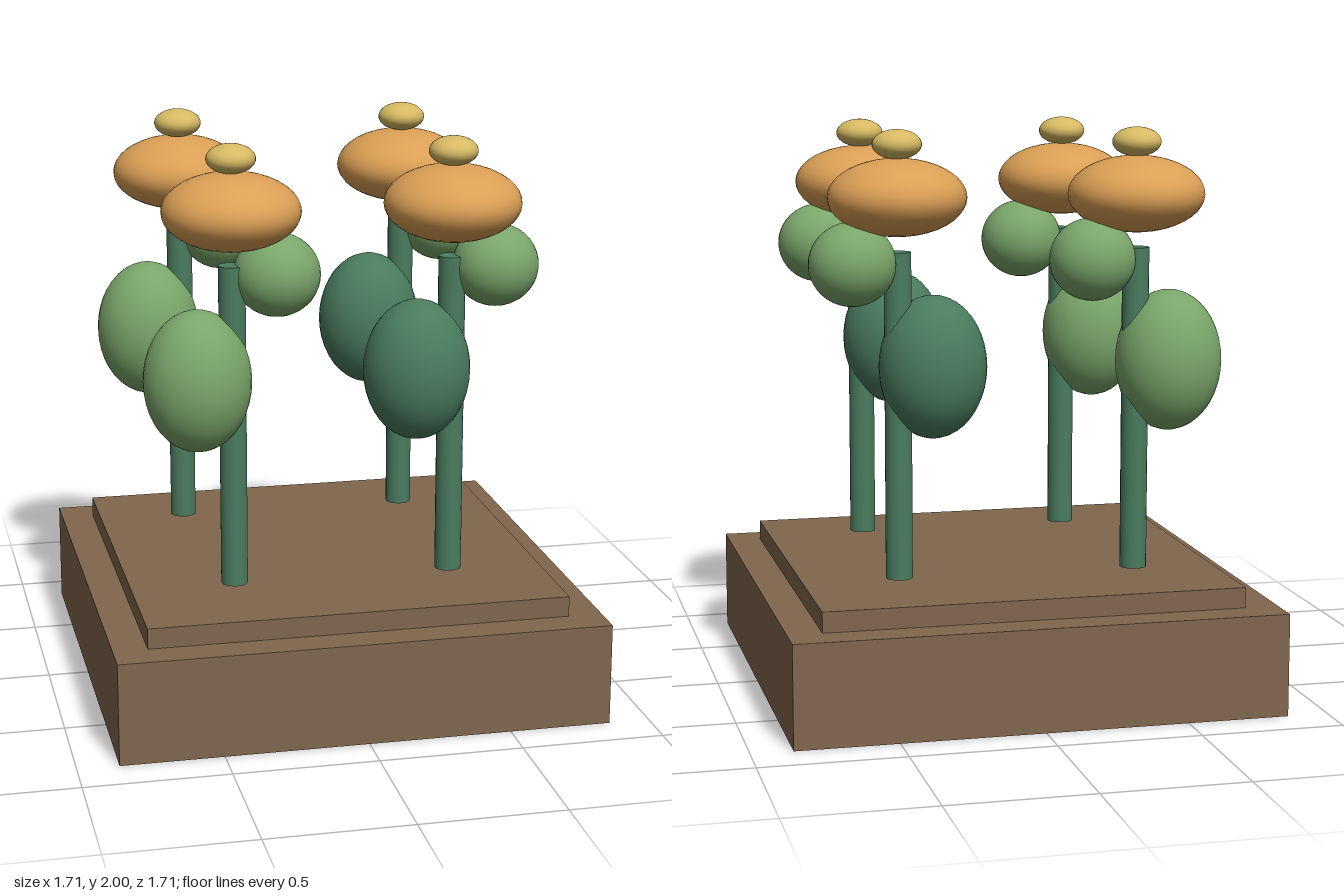
import * as THREE from 'three';

const paint = (name, color) => {
  const m = new THREE.MeshStandardMaterial({ color });
  m.name = name;
  return m;
};

export function createModel() {
  const earth = paint('earthBrown', 0x80664d);
  const darkGreen = paint('darkGreen', 0x4a7c5f);
  const lightGreen = paint('lightGreen', 0x7aa66a);
  const orange = paint('petalOrange', 0xdb9f55);
  const yellow = paint('paleYellow', 0xd6b963);

  const model = new THREE.Group();
  model.name = 'flowerPlanter';

  const add = (parent, name, geometry, material, x, y, z = 0) => {
    const mesh = new THREE.Mesh(geometry, material);
    mesh.name = name;
    mesh.position.set(x, y, z);
    parent.add(mesh);
    return mesh;
  };

  // Square bed with a raised slab of soil
  add(model, 'planterBase', new THREE.BoxGeometry(1.714, 0.36, 1.714), earth, 0, 0.18);
  add(model, 'soilSlab', new THREE.BoxGeometry(1.476, 0.072, 1.476), earth, 0, 0.396);

  // Shapes shared by all four plants
  const ball = (rx, ry, rz) => new THREE.SphereGeometry(1, 32, 20).scale(rx, ry, rz);
  const stem = new THREE.CylinderGeometry(0.047, 0.047, 1.133, 20);
  const lowerLeaf = ball(0.187, 0.248, 0.179);
  const upperLeaf = ball(0.15, 0.144, 0.144);
  const bloom = ball(0.238, 0.133, 0.238);
  const bloomCentre = ball(0.085, 0.051, 0.085);

  // Plant positions: x, z and the colour of the lower leaf
  const plants = [
    ['backRightPlant', -0.429, -0.414, lightGreen],
    ['frontRightPlant', -0.379, 0.396, lightGreen],
    ['backLeftPlant', 0.41, -0.397, darkGreen],
    ['frontLeftPlant', 0.393, 0.396, darkGreen],
  ];
  for (const [name, x, z, leafColour] of plants) {
    const plant = new THREE.Group();
    plant.name = name;
    plant.position.set(x, 0, z);
    add(plant, 'stem', stem, darkGreen, 0, 1.0185);
    add(plant, 'lowerLeaf', lowerLeaf, leafColour, -0.122, 1.187);
    add(plant, 'upperLeaf', upperLeaf, lightGreen, 0.156, 1.546);
    add(plant, 'bloom', bloom, orange, 0, 1.77);
    add(plant, 'bloomCentre', bloomCentre, yellow, 0, 1.949);
    model.add(plant);
  }
  return model;
}
